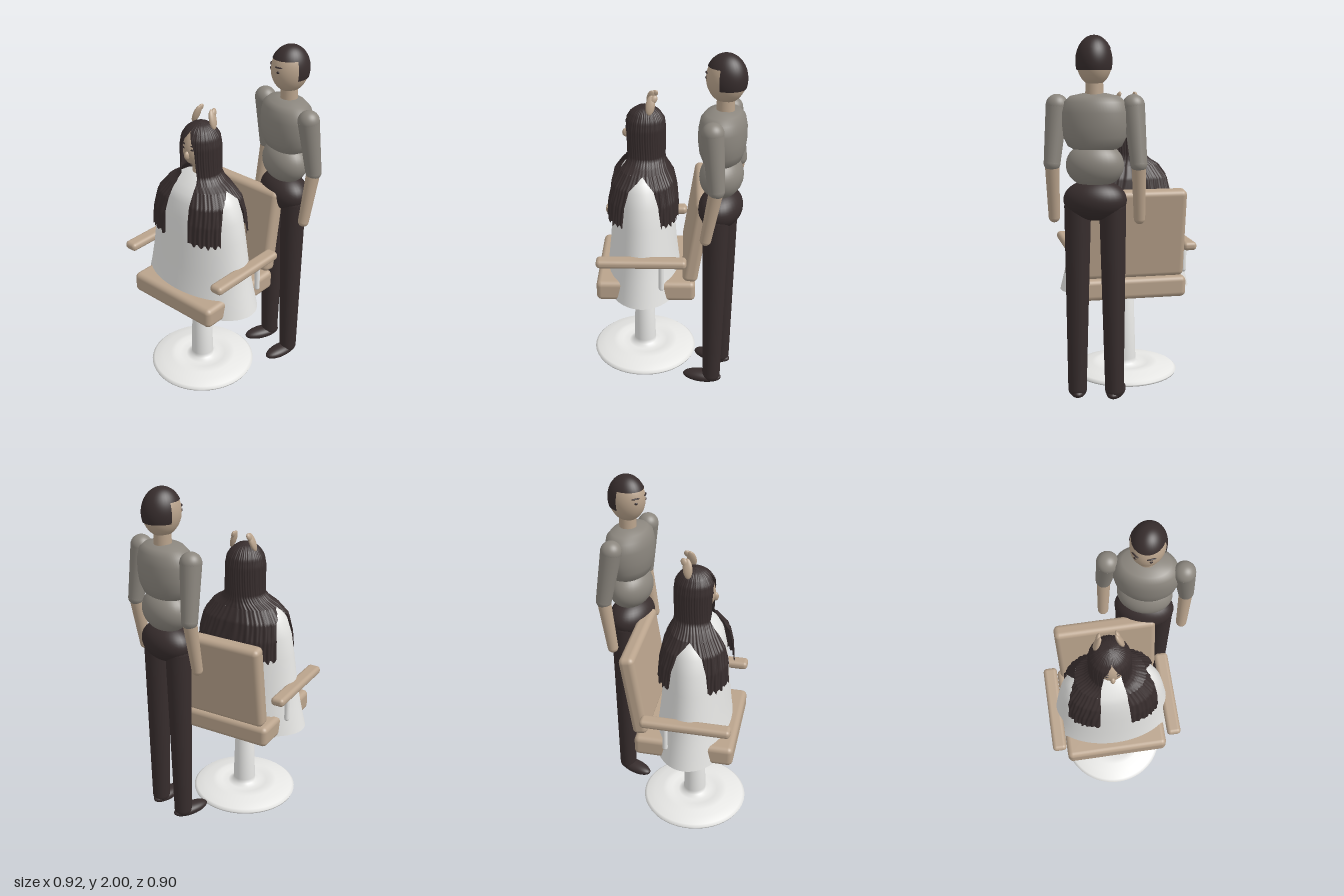
import * as THREE from 'three';
import { RoundedBoxGeometry } from 'three/addons/geometries/RoundedBoxGeometry.js';

const mat = (name, color, side = THREE.FrontSide) => {
  const m = new THREE.MeshStandardMaterial({ color, side });
  m.name = name;
  return m;
};

export function createModel() {
  const beige = mat('beige', 0xb9a38c);
  const white = mat('white', 0xe6e6e4);
  const cloth = mat('cape white', 0xe4e4e2, THREE.DoubleSide);
  const dark = mat('dark brown', 0x372d2d);
  const hairMat = mat('hair brown', 0x372d2d, THREE.DoubleSide);
  const grey = mat('shirt grey', 0x8b867e);
  const root = new THREE.Group();

  const add = (parent, name, geo, material, p = [0, 0, 0], s = [1, 1, 1], r = [0, 0, 0]) => {
    const m = new THREE.Mesh(geo, material);
    m.name = name;
    m.position.set(...p);
    m.scale.set(...s);
    m.rotation.set(...r);
    parent.add(m);
    return m;
  };
  const group = (name) => {
    const g = new THREE.Group();
    g.name = name;
    root.add(g);
    return g;
  };
  const ball = (parent, name, material, p, s, r) =>
    add(parent, name, new THREE.SphereGeometry(1, 32, 24), material, p, s, r);
  const box = (parent, name, size, radius, p, r) =>
    add(parent, name, new RoundedBoxGeometry(...size, 4, radius), beige, p, [1, 1, 1], r);
  const lathe = (pts) => new THREE.LatheGeometry(pts.map(([x, y]) => new THREE.Vector2(x, y)), 64);
  // tapered limb between two points, with rounded ends
  const limb = (parent, name, material, a, b, ra, rb) => {
    const A = new THREE.Vector3(...a), B = new THREE.Vector3(...b);
    const m = add(parent, name, new THREE.CylinderGeometry(rb, ra, A.distanceTo(B), 24), material);
    m.position.copy(A).lerp(B, 0.5);
    m.quaternion.setFromUnitVectors(new THREE.Vector3(0, 1, 0), B.clone().sub(A).normalize());
    ball(parent, name + 'Start', material, a, [ra, ra, ra]);
    ball(parent, name + 'End', material, b, [rb, rb, rb]);
  };

  // ---- chair ----
  const CX = -0.07, CZ = 0.14;
  const chair = group('chair');
  add(chair, 'pedestal', lathe([[0, 0], [0.31, 0], [0.315, 0.012], [0.30, 0.025], [0.25, 0.038], [0.2, 0.05],
    [0.17, 0.054], [0.14, 0.046], [0.1, 0.042], [0.068, 0.05], [0.067, 0.08], [0.055, 0.47], [0, 0.47]]),
  white, [CX, 0, CZ]);
  box(chair, 'seat', [0.6, 0.122, 0.572], 0.03, [CX, 0.584, 0.119]);
  box(chair, 'backrest', [0.585, 0.51, 0.088], 0.03, [-0.057, 0.908, -0.17], [-0.15, 0, 0]);
  for (const s of [-1, 1]) {
    const x = CX + s * 0.337;
    box(chair, 'armrest', [0.08, 0.05, 0.51], 0.022, [x, 0.806, 0.14]);
    add(chair, 'armrestPost', new THREE.CapsuleGeometry(0.015, 0.14, 4, 16), white, [x, 0.71, 0.027]);
  }

  // ---- seated person ----
  const client = group('seatedPerson');
  add(client, 'cape', lathe([[0.39, 0.525], [0.355, 0.67], [0.33, 0.8], [0.305, 0.98], [0.285, 1.1], [0.255, 1.19],
    [0.22, 1.235], [0.17, 1.27], [0.1, 1.315], [0.045, 1.335]]), cloth, [CX, 0, CZ], [1, 1, 0.59]);
  add(client, 'neck', new THREE.CylinderGeometry(0.042, 0.048, 0.14, 24), beige, [CX, 1.35, 0.13]);
  ball(client, 'face', beige, [CX, 1.475, 0.132], [0.085, 0.118, 0.105]);
  ball(client, 'nose', beige, [CX, 1.458, 0.235], [0.014, 0.025, 0.02]);
  ball(client, 'mouth', dark, [CX, 1.402, 0.214], [0.02, 0.003, 0.004]);
  for (const s of [-1, 1]) {
    ball(client, 'eye', dark, [CX + s * 0.032, 1.495, 0.227], [0.011, 0.005, 0.004], [0, s * 0.35, 0]);
    ball(client, 'eyebrow', dark, [CX + s * 0.034, 1.517, 0.222], [0.016, 0.004, 0.004], [0, s * 0.35, s * 0.1]);
    // upright animal ears leaning inwards
    ball(client, 'animalEar', beige, [CX + s * 0.059, 1.64, 0.093], [0.015, 0.055, 0.026], [-0.15, 0, s * 0.35]);
    ball(client, 'earTip', beige, [CX + s * 0.05, 1.672, 0.073], [0.011, 0.024, 0.018], [-0.6, 0, s * 0.35]);
  }

  // hair profile: y, half width, half depth, squareness, face gap, side gap angle, centre z
  const rows = [
    [1.625, 0.001, 0.001, 1, 0, 0, 0.125], [1.615, 0.045, 0.045, 1, 0, 0, 0.125], [1.59, 0.08, 0.082, 1, 0, 0, 0.125],
    [1.55, 0.105, 0.108, 1, 0.024, 0, 0.125], [1.5, 0.115, 0.115, 1, 0.045, 0, 0.125],
    [1.37, 0.116, 0.114, 1, 0.055, 0, 0.125], [1.33, 0.118, 0.114, 1, 0.06, 0, 0.126],
    [1.3, 0.145, 0.122, 0.95, 0.066, 0, 0.13], [1.27, 0.195, 0.138, 0.88, 0.072, 0, 0.135],
    [1.2, 0.245, 0.178, 0.78, 0.08, 0.3, 0.14], [1.1, 0.265, 0.198, 0.72, 0.085, 0.38, 0.14],
    [0.985, 0.272, 0.204, 0.7, 0.09, 0.42, 0.14]];
  const sample = (y) => {
    let i = 0;
    while (i < rows.length - 2 && rows[i + 1][0] > y) i++;
    const t = (rows[i][0] - y) / (rows[i][0] - rows[i + 1][0]);
    return rows[i].map((v, k) => THREE.MathUtils.lerp(v, rows[i + 1][k], t));
  };
  const pw = (v, e) => Math.sign(v) * Math.pow(Math.abs(v), e);
  // wavy sheet of strands; range gives the start and end angle of each row
  const hairSheet = (name, y0, y1, cols, range) => {
    const pos = [], idx = [], n = 36;
    for (let j = 0; j <= n; j++) {
      const y = y0 + (y1 - y0) * j / n;
      const [, hx, hz, e, gap, side, cz] = sample(y);
      const face = Math.asin(Math.pow(gap / hx, 1 / e));
      const [a0, a1] = range(face, side);
      for (let i = 0; i <= cols; i++) {
        const a = a0 + (a1 - a0) * i / cols;
        const k = 1 + 0.014 * Math.sin(a * 50 + 2 * Math.sin(y * 14)) + 0.008 * Math.sin(a * 23 + y * 9);
        const hem = j === n && y1 < 1.1 ? 0.012 * Math.sin(a * 31) : 0;
        pos.push(CX + hx * k * pw(Math.sin(a), e), y + hem, cz + hz * k * pw(Math.cos(a), e));
        if (i < cols && j < n) {
          const p = j * (cols + 1) + i, q = p + cols + 1;
          idx.push(p, q, p + 1, p + 1, q, q + 1);
        }
      }
    }
    const g = new THREE.BufferGeometry();
    g.setAttribute('position', new THREE.Float32BufferAttribute(pos, 3));
    g.setIndex(idx);
    g.computeVertexNormals();
    add(client, name, g, hairMat);
  };
  const PI = Math.PI;
  hairSheet('hairCrown', 1.625, 1.27, 240, (f) => [f, 2 * PI - f]);
  hairSheet('hairLockLeft', 1.27, 0.985, 60, (f, o) => [f, PI / 2 - o]);
  hairSheet('hairBack', 1.27, 0.985, 120, (f, o) => [PI / 2 + o, 1.5 * PI - o]);
  hairSheet('hairLockRight', 1.27, 0.985, 60, (f, o) => [1.5 * PI + o, 2 * PI - f]);

  // ---- standing person ----
  const man = group('standingPerson');
  man.position.set(0.187, 0, -0.3);
  man.rotation.y = -0.3;
  add(man, 'chest', lathe([[0, 1.39], [0.1, 1.395], [0.145, 1.42], [0.17, 1.47], [0.18, 1.53], [0.18, 1.6],
    [0.165, 1.655], [0.13, 1.685], [0.06, 1.7], [0, 1.7]]), grey, [0, 0, 0], [1, 1, 0.7]);
  ball(man, 'belly', grey, [0, 1.32, 0], [0.157, 0.125, 0.118]);
  ball(man, 'hips', dark, [0, 1.13, 0], [0.172, 0.112, 0.12]);
  add(man, 'neck', new THREE.CylinderGeometry(0.046, 0.05, 0.13, 24), beige, [0, 1.72, -0.01]);
  for (const s of [-1, 1]) {
    limb(man, 'trouserLeg', dark, [s * 0.095, 1.09, 0], [s * 0.104, 0.06, 0], 0.073, 0.052);
    ball(man, 'shoe', dark, [s * 0.108, 0.034, 0.055], [0.05, 0.034, 0.115], [0, s * 0.12, 0]);
  }

  // head turned a little further than the body
  const head = new THREE.Group();
  head.name = 'head';
  head.position.set(0, 1.867, -0.01);
  head.rotation.y = -0.12;
  man.add(head);
  ball(head, 'skull', beige, [0, 0, 0], [0.093, 0.13, 0.108]);
  add(head, 'hairTop', new THREE.SphereGeometry(1, 32, 16, 0, 2 * PI, 0, 1.07), hairMat, [0, 0, 0], [0.098, 0.134, 0.113]);
  add(head, 'hairBack', new THREE.SphereGeometry(1, 32, 16, PI, PI, 1.05, 0.87), hairMat, [0, 0, 0], [0.098, 0.134, 0.113]);
  for (const s of [-1, 1]) {
    ball(head, 'eye', dark, [s * 0.042, 0.003, 0.096], [0.009, 0.007, 0.005], [0, s * 0.5, 0]);
    ball(head, 'eyebrow', dark, [s * 0.042, 0.03, 0.094], [0.024, 0.004, 0.006], [0, s * 0.5, 0]);
  }

  // arms: shoulder, elbow, hand
  const arms = group('arms');
  for (const [shoulder, elbow, hand] of [
    [[0.38, 1.635, -0.24], [0.413, 1.33, -0.265], [0.398, 1.03, -0.215]],
    [[-0.012, 1.635, -0.355], [-0.03, 1.33, -0.405], [-0.045, 1.03, -0.36]]]) {
    limb(arms, 'sleeve', grey, shoulder, elbow, 0.06, 0.045);
    limb(arms, 'forearm', beige, elbow, hand, 0.039, 0.031);
  }
  return root;
}
